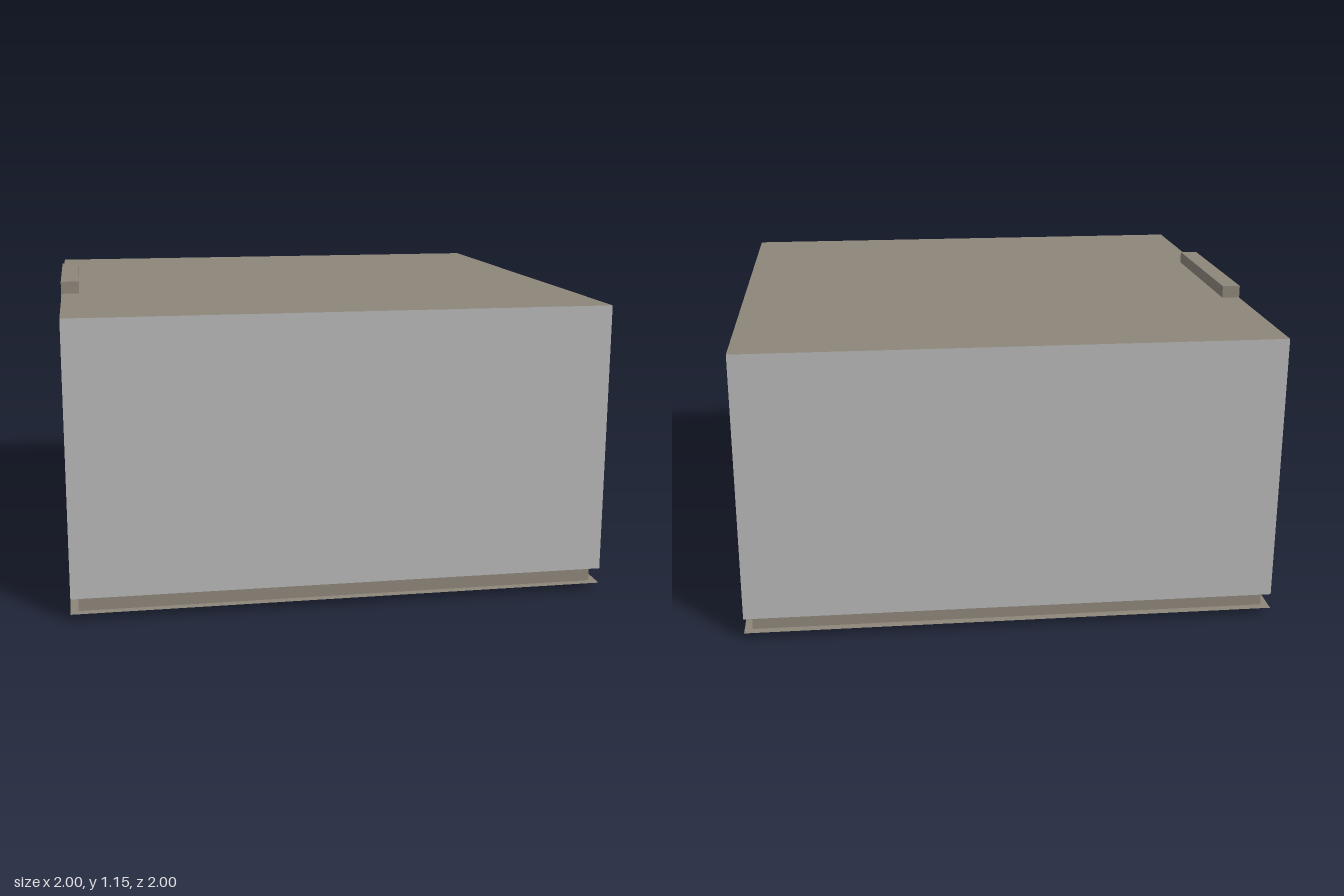
import * as THREE from 'three';

export function createModel() {
  const model = new THREE.Group();
  const make = (name, color) => {
    const m = new THREE.MeshStandardMaterial({ color });
    m.name = name;
    return m;
  };
  const grey = make('grey wall', 0xb6b6b6);
  const brown = make('taupe', 0x8d857a);
  const brownSheet = brown.clone();
  brownSheet.side = THREE.DoubleSide;

  // Box given by its minimum and maximum corners
  function box(name, [x0, y0, z0], [x1, y1, z1], material = brown) {
    const mesh = new THREE.Mesh(new THREE.BoxGeometry(x1 - x0, y1 - y0, z1 - z0), material);
    mesh.position.set((x0 + x1) / 2, (y0 + y1) / 2, (z0 + z1) / 2);
    mesh.name = name;
    model.add(mesh);
    return mesh;
  }

  // Main body: grey walls, taupe top and underside
  box('body', [-0.998, 0.085, -1], [1, 1.1, 1], [grey, grey, brown, brown, grey, grey]);

  // Recessed plinth under the body
  box('plinth', [-0.97, 0.028, -0.97], [0.97, 0.085, 0.97]);

  // Thin sheet closing the underside
  const sheet = new THREE.Mesh(new THREE.PlaneGeometry(2, 2), brownSheet);
  sheet.rotation.x = Math.PI / 2;
  sheet.position.y = 0.027;
  sheet.name = 'bottomSheet';
  model.add(sheet);

  // Bracket wrapping the right side: panel, top lip and foot pad
  const z0 = -0.36, z1 = 0.33;
  box('sidePanel', [-1, 0.03, z0], [-0.97, 1.147, z1]);
  box('topLip', [-0.97, 1.1, z0], [-0.93, 1.147, z1]);
  box('footPad', [-0.93, 0, z0], [-0.58, 0.027, z1]);

  // Small tapered stud underneath
  const stud = new THREE.Mesh(
    new THREE.CylinderGeometry(0.047 * Math.SQRT2, 0.027 * Math.SQRT2, 0.025, 4).toNonIndexed(), brown);
  stud.geometry.rotateY(Math.PI / 4);
  stud.geometry.computeVertexNormals();
  stud.position.set(0.295, 0.0145, -0.56);
  stud.name = 'stud';
  model.add(stud);

  return model;
}
